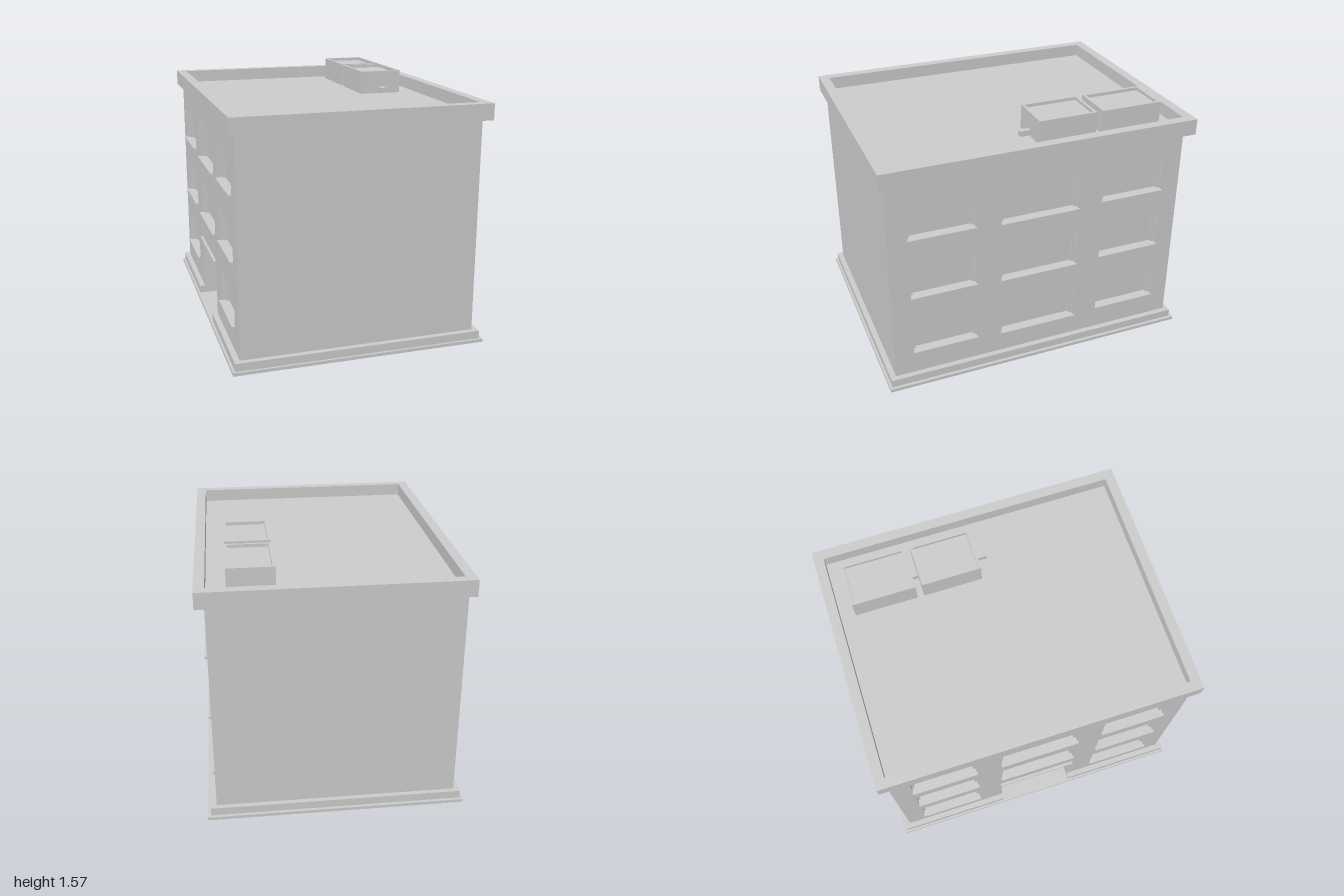
import * as THREE from 'three';

const mat = new THREE.MeshStandardMaterial({ color: 0xcccccc });

export function createModel() {
  const model = new THREE.Group();

  const add = (name, geo) => {
    const mesh = new THREE.Mesh(geo, mat);
    mesh.name = name;
    model.add(mesh);
    return mesh;
  };
  // Box from its lower and upper bounds on each axis
  const box = (name, x0, x1, y0, y1, z0, z1) =>
    add(name, new THREE.BoxGeometry(x1 - x0, y1 - y0, z1 - z0)
      .translate((x0 + x1) / 2, (y0 + y1) / 2, (z0 + z1) / 2));

  const trace = (pen, pts) => {
    pts.forEach(([a, b], i) => (i ? pen.lineTo(a, b) : pen.moveTo(a, b)));
    pen.closePath();
    return pen;
  };
  const rect = (a0, a1, b0, b1) => [[a0, b0], [a1, b0], [a1, b1], [a0, b1]];

  // Extrude a side elevation (z, y) from x0 to x1
  const extrudeX = (name, shape, x0, x1) =>
    add(name, new THREE.ExtrudeGeometry(shape, { depth: x1 - x0, bevelEnabled: false })
      .rotateY(Math.PI / 2).translate(x0, 0, 0));
  // Extrude a plan ring upward from y0 to y1
  const ringY = (name, x0, x1, z0, z1, inset, y0, y1) => {
    const shape = trace(new THREE.Shape(), rect(x0, x1, -z1, -z0));
    shape.holes.push(trace(new THREE.Path(), rect(x0 + inset, x1 - inset, -z1 + inset, -z0 - inset)));
    add(name, new THREE.ExtrudeGeometry(shape, { depth: y1 - y0, bevelEnabled: false })
      .rotateX(-Math.PI / 2).translate(0, y0, 0));
  };

  const wallZ = 0.95, wallBottom = 0.02, wallTop = 1.4;
  const doorHalf = 0.25, doorTop = 0.42, doorEnd = 0;

  // Wall outline, with or without the entrance notch
  const wallShape = (door) => trace(new THREE.Shape(), door
    ? [[-wallZ, wallBottom], [-doorHalf, wallBottom], [-doorHalf, doorTop], [doorHalf, doorTop],
      [doorHalf, wallBottom], [wallZ, wallBottom], [wallZ, wallTop], [-wallZ, wallTop]]
    : rect(-wallZ, wallZ, wallBottom, wallTop));

  // Window grid: three columns by three storeys
  const columns = [
    { z: -0.62, half: 0.205, bottom: 0.212, top: 0.44 },
    { z: 0, half: 0.25, bottom: 0.196, top: 0.46 },
    { z: 0.62, half: 0.205, bottom: 0.212, top: 0.44 },
  ];
  const windowsFor = (door) => {
    const list = [];
    for (let storey = 0; storey < 3; storey++)
      for (const c of columns)
        if (!(door && storey === 0 && c.z === 0)) {
          const y = storey * 0.4;
          list.push({ z: c.z, half: c.half, bottom: c.bottom + y, top: c.top + y });
        }
    return list;
  };

  // Ground slab and plinth, open at the entrance
  box('groundSlab', -0.79, 0.79, 0, 0.02, -1, 1);
  box('plinth', doorEnd, 0.77, 0.02, 0.07, -0.98, 0.985);
  box('plinthFrontHalf', -0.775, doorEnd, 0.02, 0.07, doorHalf, 0.985);
  box('plinthBackHalf', -0.775, doorEnd, 0.02, 0.07, -0.98, -doorHalf);

  // Solid core whose sides serve as window panes, with the deep entrance recess
  extrudeX('entranceCore', wallShape(true), -0.695, doorEnd);
  extrudeX('core', wallShape(false), doorEnd, 0.69);

  // Both window walls: outer wall layer, stepped frame layer, sills
  for (const side of [-1, 1]) {
    const door = side < 0;
    const face = door ? 0.74 : 0.735;
    const windows = windowsFor(door);
    const layer = (name, inset, outer, inner) => {
      const shape = wallShape(door);
      for (const w of windows)
        shape.holes.push(trace(new THREE.Path(), rect(
          w.z - w.half + inset, w.z + w.half - inset, w.bottom, w.top - inset)));
      extrudeX(name, shape, Math.min(side * outer, side * inner), Math.max(side * outer, side * inner));
    };
    const sideName = door ? 'right' : 'left';
    layer(sideName + 'Wall', 0, face, face - 0.025);
    layer(sideName + 'WindowFrames', 0.016, face - 0.025, face - 0.045);

    const ledge = (name, z, half, y0, y1) => {
      const a = side * (face - 0.045), b = side * (face + 0.018);
      box(name, Math.min(a, b), Math.max(a, b), y0, y1, z - half, z + half);
    };
    for (const w of windows)
      ledge(sideName + 'WindowSill', w.z, w.half + 0.005, w.bottom, w.bottom + 0.017);
    if (door) ledge('entranceLintel', 0, 0.262, doorTop, doorTop + 0.016);
  }

  // Flat roof with parapet
  const roofY = 1.42;
  box('roofDeck', -0.775, 0.79, 1.4, roofY, -1, 0.985);
  ringY('parapet', -0.775, 0.79, -1, 0.985, 0.062, roofY, 1.5);

  // Two rooftop units with recessed lids and a short duct each
  for (const [z0, z1, ductEnd] of [[-0.845, -0.45, -0.41], [-0.41, -0.035, 0.035]]) {
    box('rooftopUnit', 0.335, 0.612, roofY, 1.55, z0, z1);
    ringY('rooftopUnitRim', 0.335, 0.612, z0, z1, 0.017, 1.55, 1.57);
    box('duct', 0.456, 0.49, 1.43, 1.464, z1, ductEnd);
  }

  return model;
}
